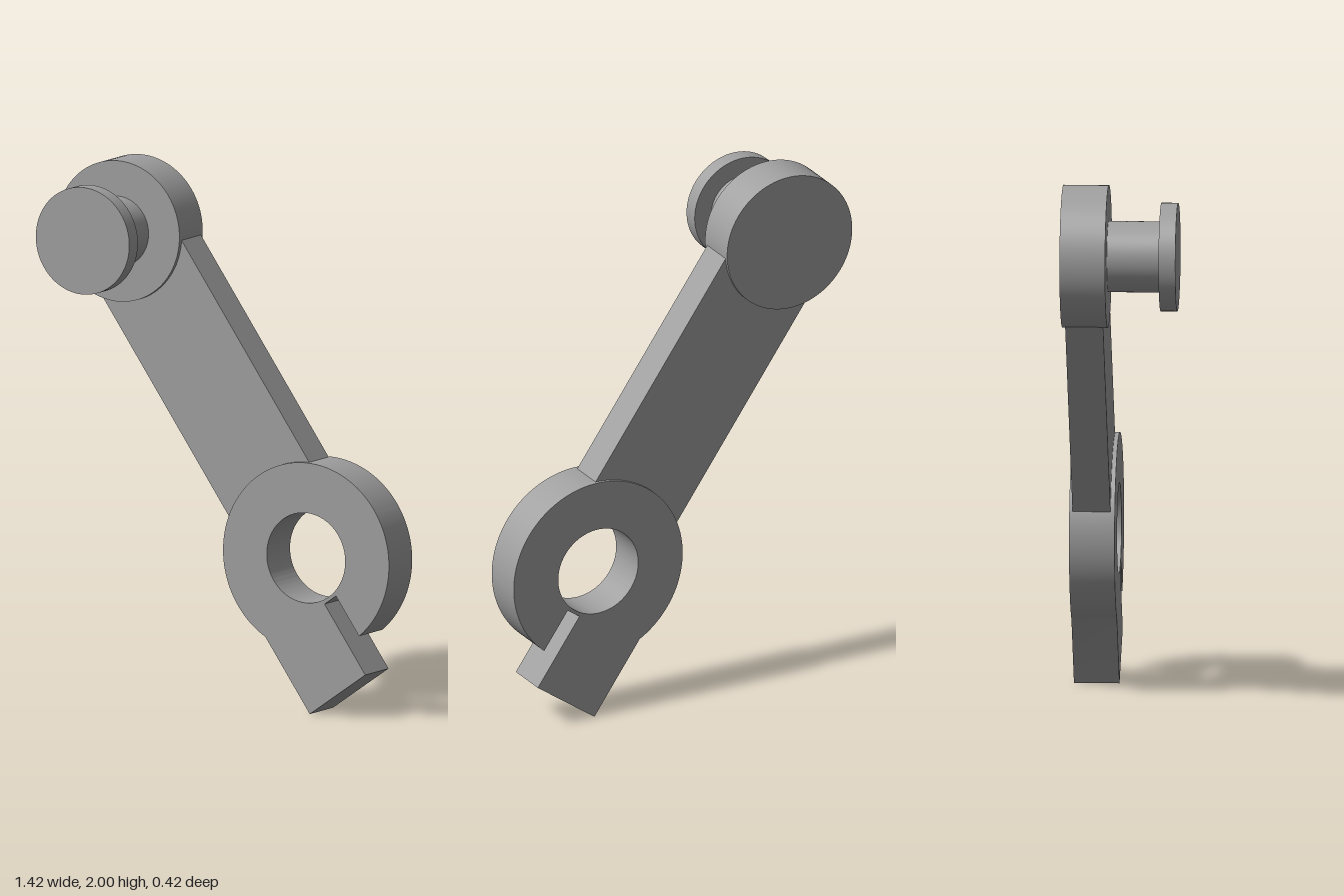
import * as THREE from 'three';
import { toCreasedNormals } from 'three/addons/utils/BufferGeometryUtils.js';

export function createModel() {
  const model = new THREE.Group();
  model.name = 'clampLever';
  const grey = new THREE.MeshStandardMaterial({ color: 0xa0a0a0 });
  grey.name = 'grey metal';

  const backZ = -0.212, frontZ = -0.044;
  const length = 1.405; // from clamp centre to boss centre

  // The lever is drawn upright around the clamp centre, then tilted
  const lever = new THREE.Group();
  lever.name = 'lever';
  lever.position.set(0.355, 0.584, 0);
  lever.rotation.z = 0.61;
  model.add(lever);

  const add = (name, geometry) => {
    const mesh = new THREE.Mesh(geometry, grey);
    mesh.name = name;
    lever.add(mesh);
    return mesh;
  };

  // Round part along z at the top of the lever
  const disc = (name, radius, z0, z1) => {
    const geometry = new THREE.CylinderGeometry(radius, radius, z1 - z0, 96);
    geometry.rotateX(Math.PI / 2);
    add(name, geometry).position.set(0, length, (z0 + z1) / 2);
  };
  disc('boss', 0.263, backZ, frontZ);
  disc('pin', 0.131, frontZ, 0.15);
  disc('pinHead', 0.2, 0.15, 0.212);

  // Flat arm, ending inside the clamp ring and the boss
  const armBottom = 0.24;
  add('arm', new THREE.BoxGeometry(0.414, length - armBottom, 0.14))
    .position.set(0, (length + armBottom) / 2, -0.13);

  // Clamp ring with a tab and a slot beside it
  const R = 0.355, slot = 0.03, tabLeft = -0.32, tabEnd = -0.486, slotTop = -0.181;
  const lipY = -Math.sqrt(R * R - slot * slot);
  const tabY = -Math.sqrt(R * R - tabLeft * tabLeft);
  const outline = new THREE.Shape();
  outline.moveTo(slot, lipY);
  outline.absarc(0, 0, R, Math.atan2(lipY, slot), Math.atan2(tabY, tabLeft) + Math.PI * 2, false);
  outline.lineTo(tabLeft, tabEnd);
  outline.lineTo(-slot, tabEnd);
  outline.lineTo(-slot, slotTop);
  outline.lineTo(slot, slotTop);
  outline.closePath();
  const bore = new THREE.Path();
  bore.absarc(0, 0, 0.168, 0, Math.PI * 2, true);
  outline.holes.push(bore);
  const clamp = new THREE.ExtrudeGeometry(outline, {
    depth: frontZ - backZ, bevelEnabled: false, curveSegments: 80,
  });
  clamp.translate(0, 0, backZ);
  add('clampRing', toCreasedNormals(clamp, 0.5));

  return model;
}
